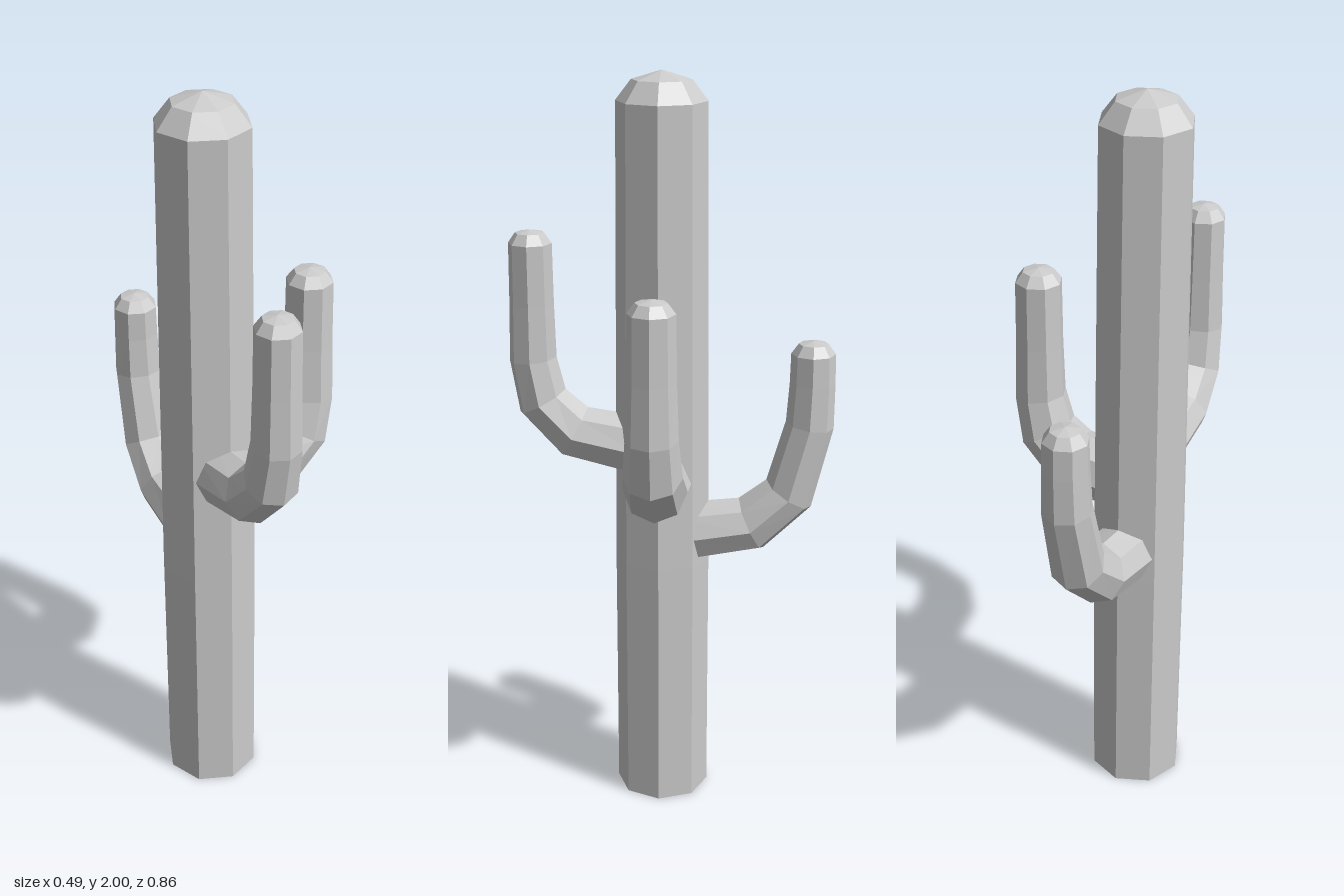
import * as THREE from 'three';

const SIDES = 8;
const material = new THREE.MeshStandardMaterial({
  color: 0xcccccc, flatShading: true, side: THREE.DoubleSide,
});

// Octagonal tube swept along stations [distance from trunk axis, height, radius] in the XY plane
function sweep(stations) {
  const positions = [];
  const index = [];
  const last = stations.length - 1;
  stations.forEach(([x, y, r], i) => {
    const p = stations[Math.max(i - 1, 0)];
    const n = stations[Math.min(i + 1, last)];
    // tangent bisects the directions of the neighbouring segments
    const before = new THREE.Vector2(x - p[0], y - p[1]).normalize();
    const after = new THREE.Vector2(n[0] - x, n[1] - y).normalize();
    const t = before.add(after).normalize();
    for (let j = 0; j < SIDES; j++) {
      const a = (j / SIDES) * Math.PI * 2;
      const c = r * Math.cos(a);
      positions.push(x - t.y * c, y + t.x * c, r * Math.sin(a));
    }
  });
  for (let i = 0; i < last; i++) {
    for (let j = 0; j < SIDES; j++) {
      const k = (j + 1) % SIDES;
      const a = i * SIDES + j, b = i * SIDES + k;
      const c = b + SIDES, d = a + SIDES;
      index.push(a, b, c);
      if (stations[i + 1][2] > 0) index.push(a, c, d);
    }
  }
  const geometry = new THREE.BufferGeometry();
  geometry.setAttribute('position', new THREE.Float32BufferAttribute(positions, 3));
  geometry.setIndex(index);
  geometry.computeVertexNormals();
  return geometry;
}

// Arm with a rounded tip; the bend starts inside the trunk
function makeArm(name, angle, bend, tipY) {
  const [x, , r] = bend[bend.length - 1];
  const tip = [
    [x, tipY - 0.035, r * 0.97],
    [x, tipY - 0.008, r * 0.65],
    [x, tipY, 0],
  ];
  const arm = new THREE.Mesh(sweep([...bend, ...tip]), material);
  arm.name = name;
  arm.rotation.y = angle;
  return arm;
}

export function createModel() {
  const cactus = new THREE.Group();
  cactus.name = 'cactus';

  // Everything hangs on the trunk axis, which is off centre
  const plant = new THREE.Group();
  plant.name = 'plant';
  plant.position.set(-0.117, 0, 0.027);
  cactus.add(plant);

  // Trunk: open at the base, domed at the top
  const profile = [[0.127, 0], [0.127, 0.7], [0.117, 1.925], [0.077, 1.977], [0, 2]]
    .map(([r, y]) => new THREE.Vector2(r, y));
  const trunk = new THREE.Mesh(new THREE.LatheGeometry(profile, SIDES), material);
  trunk.name = 'trunk';
  plant.add(trunk);

  plant.add(makeArm('leftArm', 0, [
    [0.06, 0.935, 0.085], [0.205, 0.962, 0.084], [0.275, 1.025, 0.077],
    [0.297, 1.13, 0.068], [0.297, 1.28, 0.063],
  ], 1.49));

  plant.add(makeArm('frontArm', -Math.PI / 2, [
    [0.06, 1.015, 0.083], [0.235, 1.05, 0.077], [0.32, 1.135, 0.07],
    [0.343, 1.25, 0.063], [0.343, 1.4, 0.059],
  ], 1.595));

  plant.add(makeArm('backArm', Math.PI / 2, [
    [0.06, 0.77, 0.084], [0.242, 0.8, 0.079], [0.342, 0.89, 0.071],
    [0.393, 1.085, 0.064], [0.397, 1.2, 0.06],
  ], 1.315));

  return cactus;
}
